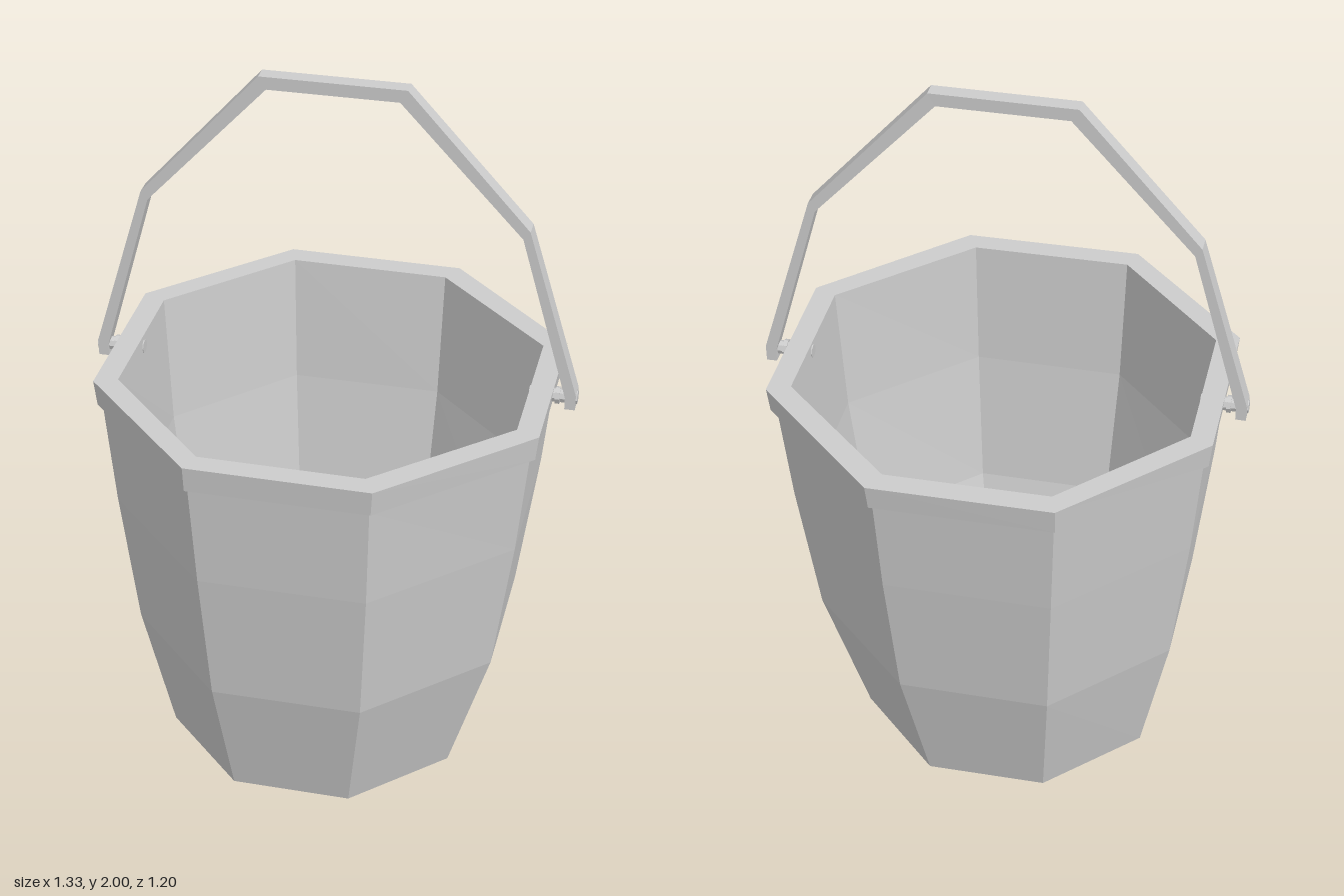
import * as THREE from 'three';

const material = () => new THREE.MeshStandardMaterial({ color: 0xcccccc, flatShading: true });

// Octagon with flats facing the axes; tilt drops the right and back sides a little
function octagon([cx, cz, h, y, tilt = 0, cornerX = cx]) {
  const k = h * 0.41;
  return [[h, -k], [h, k], [k, h], [-k, h], [-h, k], [-h, -k], [-k, -h], [k, -h]].map(([x, z]) => {
    const ox = Math.abs(x) < Math.abs(z) ? cornerX : cx;
    return [x + ox, y + tilt * (z - x), z + cz];
  });
}

// Faceted skin through a run of octagons
function loft(rings) {
  const loops = rings.map(octagon);
  const pos = [];
  for (let r = 0; r < loops.length - 1; r++) {
    const a = loops[r], b = loops[r + 1];
    for (let i = 0; i < 8; i++) {
      const j = (i + 1) % 8;
      if (rings[r + 1][2] > 0) pos.push(...a[i], ...b[i], ...b[j]);
      if (rings[r][2] > 0) pos.push(...a[i], ...b[j], ...a[j]);
    }
    if (rings[r + 1][2] === 0) for (let i = 0; i < 8; i++) pos.push(...a[i], ...b[i], ...a[(i + 1) % 8]);
  }
  const g = new THREE.BufferGeometry();
  g.setAttribute('position', new THREE.Float32BufferAttribute(pos, 3));
  g.computeVertexNormals();
  return g;
}

export function createModel() {
  const group = new THREE.Group();
  const add = (name, geometry) => {
    const mesh = new THREE.Mesh(geometry, material());
    mesh.name = name;
    group.add(mesh);
    return mesh;
  };

  // Bucket: underside with recess, outer wall, rim, inner wall, floor with raised centre
  // Each ring: centre x, centre z, half width, height, tilt, corner centre x
  add('bucket', loft([
    [-0.02, 0.01, 0, 0.045],
    [-0.02, 0.01, 0.115, 0.045],
    [-0.02, 0.01, 0.145, 0.012],
    [-0.027, 0.012, 0.403, 0.007, 0.006],
    [-0.007, 0.01, 0.502, 0.4, 0, -0.015],
    [-0.002, 0.005, 0.552, 0.8, 0, -0.012],
    [0, 0, 0.58, 1.1, 0, -0.012],
    [0, -0.003, 0.594, 1.1, 0.004, -0.012],
    [0, -0.004, 0.602, 1.172, 0.006, -0.01],
    [0, -0.003, 0.54, 1.172, 0.006, -0.015],
    [-0.002, 0.005, 0.517, 0.8, 0, -0.015],
    [-0.007, 0.01, 0.467, 0.4, 0, -0.015],
    [-0.023, 0.008, 0.373, 0.045],
    [-0.02, 0.008, 0.148, 0.045],
    [-0.02, 0.008, 0.114, 0.075],
    [-0.02, 0.008, 0, 0.075],
  ]));

  // Handle: bent flat strap, slightly wider towards its ends
  const outer = [[0.662, 1.115], [0.663, 1.16], [0.522, 1.635], [0.195, 2]];
  const inner = [[0.175, 1.965], [0.504, 1.612], [0.634, 1.15], [0.634, 1.115]];
  const mirror = (pts) => pts.map(([x, y]) => [-x, y]).reverse();
  const outline = [...outer, ...mirror(outer), ...mirror(inner), ...inner];
  const shape = new THREE.Shape(outline.map(([x, y]) => new THREE.Vector2(x, y)));
  const strap = new THREE.ExtrudeGeometry(shape, { depth: 1, bevelEnabled: false });
  const p = strap.attributes.position;
  for (let i = 0; i < p.count; i++) {
    const back = -0.036 - 0.018 * Math.abs(p.getX(i));
    p.setZ(i, p.getZ(i) > 0.5 ? 0.004 : back);
  }
  strap.computeVertexNormals();
  add('handle', strap);

  // Pivot pins through the rim, each with a small collar
  for (const side of [1, -1]) {
    const name = side > 0 ? 'left' : 'right';
    const pin = add(name + 'Pin', new THREE.CylinderGeometry(0.019, 0.019, 0.13, 8));
    pin.rotation.z = Math.PI / 2;
    pin.position.set(side * 0.601, 1.143, -0.019);
    const collar = add(name + 'Collar', new THREE.CylinderGeometry(0.024, 0.024, 0.012, 8));
    collar.rotation.z = Math.PI / 2;
    collar.position.set(side * 0.613, 1.143, -0.019);
  }
  return group;
}
